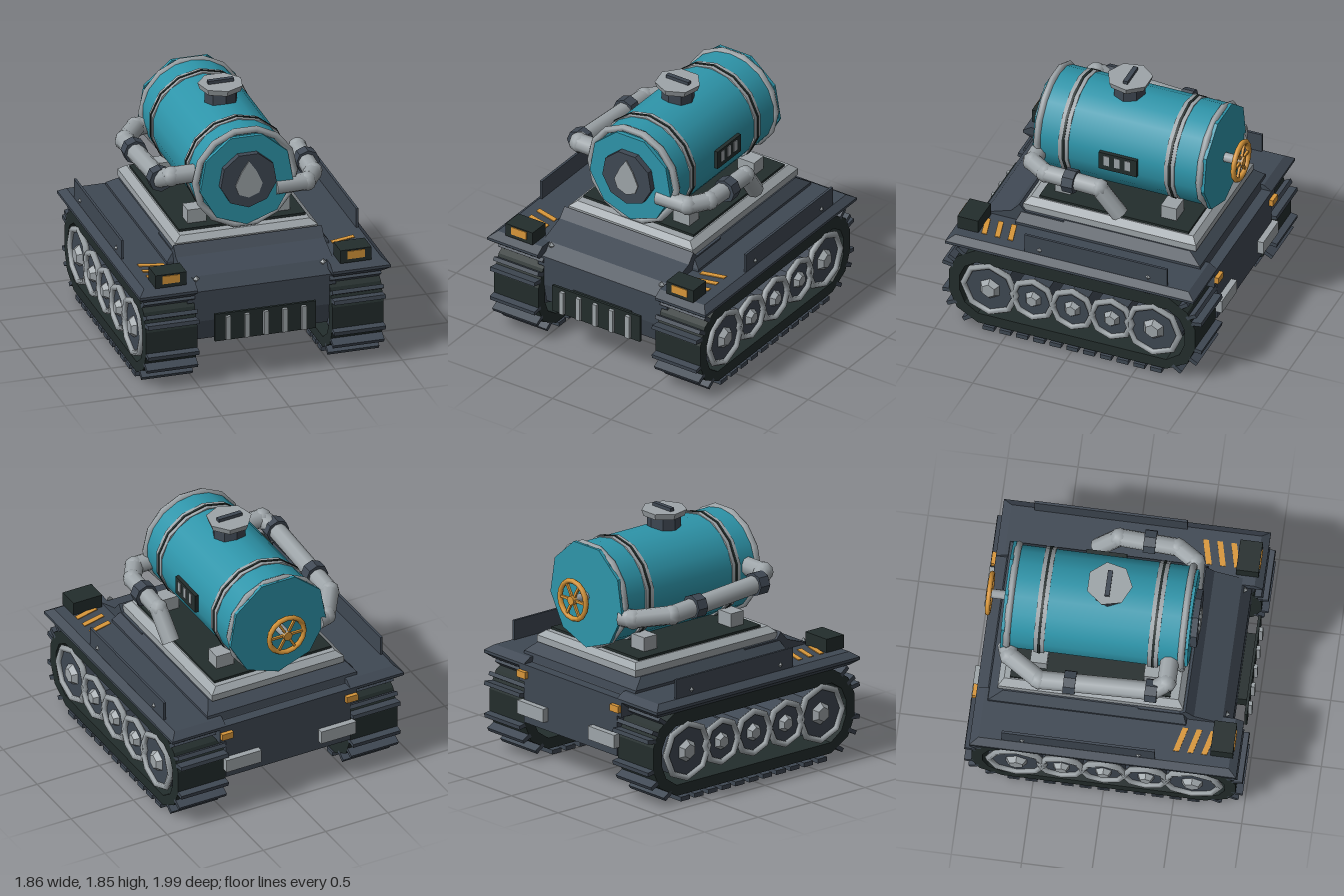
import * as THREE from 'three';

const mat = (name, color, extra = {}) => {
  const m = new THREE.MeshStandardMaterial({ color, ...extra });
  m.name = name;
  return m;
};

export function createModel() {
  const root = new THREE.Group();
  root.name = 'tankVehicle';
  const steel = mat('darkSteel', 0x3f4853);
  const rubber = mat('blackRubber', 0x232d2c);
  const grey = mat('lightGrey', 0x9ea5a9);
  const teal = mat('tealPaint', 0x2e95aa);
  const orange = mat('orangePaint', 0xd9973a);

  const add = (name, geo, material, x = 0, y = 0, z = 0, parent = root) => {
    const m = new THREE.Mesh(geo, material);
    m.name = name;
    m.position.set(x, y, z);
    parent.add(m);
    return m;
  };
  const box = (name, material, w, h, d, x, y, z, parent) =>
    add(name, new THREE.BoxGeometry(w, h, d), material, x, y, z, parent);
  const flat = (geo) => {
    const g = geo.index ? geo.toNonIndexed() : geo;
    g.computeVertexNormals();
    return g;
  };
  const cylZ = (r, len, n) => new THREE.CylinderGeometry(r, r, len, n).rotateX(Math.PI / 2);
  const poly = (pts) => new THREE.Shape(pts.map(([a, b]) => new THREE.Vector2(a, b)));
  // extrude a (z, y) outline across x, centred on x = 0
  const extrudeX = (shape, width) =>
    new THREE.ExtrudeGeometry(shape, { depth: width, bevelEnabled: false })
      .rotateY(-Math.PI / 2).translate(width / 2, 0, 0);
  // stacked rectangles [y, x0, x1, z0, z1] joined into a bevelled slab
  const loft = (rings) => {
    const pos = [], idx = [];
    rings.forEach(([y, a, b, c, d]) => pos.push(a, y, d, b, y, d, b, y, c, a, y, c));
    for (let r = 0; r < rings.length - 1; r++)
      for (let i = 0; i < 4; i++) {
        const p = r * 4 + i, q = r * 4 + (i + 1) % 4;
        idx.push(p, q, q + 4, p, q + 4, p + 4);
      }
    const t = (rings.length - 1) * 4;
    idx.push(t, t + 1, t + 2, t, t + 2, t + 3, 0, 2, 1, 0, 3, 2);
    const g = new THREE.BufferGeometry();
    g.setAttribute('position', new THREE.Float32BufferAttribute(pos, 3));
    g.setIndex(idx);
    return flat(g);
  };

  // hull and deck
  add('lowerHull', extrudeX(poly([[-0.95, 0.3], [0.84, 0.3], [0.87, 0.45], [0.87, 0.68], [0.8, 0.75],
    [-0.86, 0.75], [-0.95, 0.6]]), 1), steel);
  add('glacis', extrudeX(poly([[0.2, 0.6], [0.87, 0.6], [0.87, 0.68], [0.8, 0.77], [0.6, 0.84], [0.54, 0.91],
    [0.5, 0.86], [0.2, 0.86]]), 1.1), steel);
  add('rearDeck', loft([[0.6, -0.55, 0.55, -0.95, 0.6], [0.73, -0.55, 0.55, -0.95, 0.6]]), steel);
  add('upperDeck', loft([[0.73, -0.6, 0.6, -0.87, 0.55], [0.79, -0.6, 0.6, -0.86, 0.55],
    [0.86, -0.54, 0.54, -0.76, 0.52]]), steel);
  add('tankPlatform', loft([[0.86, -0.53, 0.53, -0.8, 0.52], [0.91, -0.53, 0.53, -0.8, 0.52],
    [0.95, -0.48, 0.48, -0.76, 0.48]]), grey);
  box('platformPlate', rubber, 0.94, 0.025, 1.14, 0, 0.955, -0.15);

  // front grille
  box('grillePlate', rubber, 0.75, 0.21, 0.02, 0, 0.425, 0.945);
  box('grilleMount', rubber, 0.5, 0.12, 0.08, 0, 0.43, 0.9);
  for (let i = -2; i <= 2; i++) box('grilleSlat', grey, 0.035, 0.18, 0.03, i * 0.14, 0.42, 0.965);

  // everything paired on both sides
  const beltOuter = [[-0.72, 0.05], [0.72, 0.05], [0.88, 0.14], [0.94, 0.28], [0.94, 0.45], [0.88, 0.58],
    [0.74, 0.67], [-0.74, 0.67], [-0.88, 0.58], [-0.94, 0.45], [-0.94, 0.28], [-0.88, 0.14]];
  const beltInner = [[-0.72, 0.13], [0.72, 0.13], [0.82, 0.2], [0.86, 0.3], [0.86, 0.42], [0.82, 0.51],
    [0.73, 0.57], [-0.73, 0.57], [-0.82, 0.51], [-0.86, 0.42], [-0.86, 0.3], [-0.82, 0.2]];
  const beltShape = poly(beltOuter);
  beltShape.holes.push(poly(beltInner));
  const beltGeo = extrudeX(beltShape, 0.38);

  for (const s of [-1, 1]) {
    const track = new THREE.Group();
    track.name = s > 0 ? 'leftTrack' : 'rightTrack';
    root.add(track);
    add('trackBelt', beltGeo, rubber, s * 0.69, 0, 0, track);
    for (let i = 0; i < 11; i++)
      box('trackPad', steel, 0.38, 0.032, 0.085, s * 0.69, 0.016, -0.64 + i * 0.128, track);
    // cleats standing out around both ends: [z, y, angle]
    for (const e of [-1, 1])
      for (const [z, y, a] of [[0.8, 0.07, -0.6], [0.92, 0.17, -0.5], [0.95, 0.27, -0.15],
        [0.95, 0.5, 0.15], [0.91, 0.55, 0.5], [0.85, 0.63, 0.65]]) {
        const c = box('trackCleat', steel, 0.38, 0.03, 0.08, s * 0.69, y, e * z, track);
        c.rotation.x = -e * a;
      }
    // road wheels
    for (const [z, r] of [[0.63, 0.205], [0.3, 0.16], [0, 0.16], [-0.3, 0.16], [-0.62, 0.205]]) {
      const wheel = new THREE.Group();
      wheel.name = 'roadWheel';
      wheel.position.set(s * 0.72, 0.365, z);
      wheel.rotation.y = s * Math.PI / 2;
      track.add(wheel);
      add('wheelDisc', flat(cylZ(r, 0.3, 8)), steel, 0, 0, 0, wheel);
      add('wheelRim', new THREE.TorusGeometry(r - 0.005, 0.025, 5, 8), grey, 0, 0, 0.155, wheel);
      add('wheelHub', flat(new THREE.CylinderGeometry(r * 0.26, r * 0.42, 0.04, 6).rotateX(Math.PI / 2)),
        grey, 0, 0, 0.168, wheel);
    }

    // fender with skirt, lamp and hazard stripes
    const f = (a, b) => (s > 0 ? [a, b] : [-b, -a]);
    add('fender', loft([[0.67, ...f(0.52, 0.88), -0.9, 0.9], [0.71, ...f(0.5, 0.93), -0.95, 0.95],
      [0.73, ...f(0.5, 0.93), -0.95, 0.95], [0.77, ...f(0.5, 0.88), -0.89, 0.89]]), steel);
    box('sideSkirt', steel, 0.018, 0.15, 1.09, s * 0.87, 0.84, -0.18);
    box('headlampHousing', rubber, 0.23, 0.1, 0.16, s * 0.685, 0.82, 0.83);
    box('headlampLens', orange, 0.13, 0.06, 0.008, s * 0.685, 0.83, 0.913);
    for (let i = 0; i < 3; i++) {
      const z = 0.5 + i * 0.1;
      const stripe = poly([[s * 0.62, z + 0.03], [s * 0.62, z + 0.07], [s * 0.8, z + 0.025], [s * 0.8, z - 0.015]]);
      add('hazardStripe', new THREE.ExtrudeGeometry(stripe, { depth: 0.006, bevelEnabled: false })
        .rotateX(Math.PI / 2), orange, 0, 0.777, 0);
    }

    // bolts, rear plates and rear markers
    for (const z of [0.25, -0.58]) {
      add('skirtBolt', flat(new THREE.ConeGeometry(0.025, 0.02, 4).rotateZ(-s * Math.PI / 2)),
        grey, s * 0.885, 0.81, z);
    }
    add('glacisBolt', flat(new THREE.ConeGeometry(0.025, 0.03, 4).rotateX(Math.PI / 2)), grey, s * 0.47, 0.76, 0.835);
    box('rearPlate', grey, 0.28, 0.1, 0.05, s * 0.38, 0.42, -0.97);
    box('rearMarker', orange, 0.09, 0.05, 0.03, s * 0.5, 0.66, -0.965);

    // saddle blocks under the tank
    for (const z of [0.28, -0.53]) box('tankSaddle', grey, 0.14, 0.11, 0.12, s * 0.31, 1.015, z);
  }

  // tank body
  const tank = new THREE.Group();
  tank.name = 'tank';
  tank.position.y = 1.34;
  root.add(tank);
  add('tankBody', cylZ(0.37, 1.28, 18), teal, 0, 0, -0.15, tank);
  add('frontCap', flat(cylZ(0.35, 0.03, 9)), teal, 0, 0, 0.51, tank);
  add('rearCap', flat(cylZ(0.39, 0.025, 9)), teal, 0, 0, -0.79, tank);
  for (const z of [0.48, -0.76]) add('endHoop', new THREE.TorusGeometry(0.365, 0.028, 6, 14), grey, 0, 0, z, tank);
  for (const z of [0.28, -0.53]) {
    add('strap', cylZ(0.38, 0.075, 14), grey, 0, 0, z, tank);
    add('strapSeam', cylZ(0.385, 0.018, 14), rubber, 0, 0, z, tank);
  }

  // front badge disc with a plain drop
  add('frontDisc', flat(cylZ(0.21, 0.05, 9)), steel, 0, 0.01, 0.545, tank);
  add('dropPlate', new THREE.ExtrudeGeometry(poly([[0, 0.15], [-0.055, 0.07], [-0.1, -0.03], [-0.075, -0.1],
    [0, -0.13], [0.075, -0.1], [0.1, -0.03], [0.055, 0.07]]), { depth: 0.009, bevelEnabled: false }),
  grey, 0, 0.01, 0.57, tank);

  // filler hatch
  add('hatchNeck', flat(new THREE.CylinderGeometry(0.12, 0.12, 0.14, 8)), steel, 0, 0.39, -0.075, tank);
  add('hatchLid', flat(new THREE.CylinderGeometry(0.165, 0.15, 0.045, 7)), grey, 0, 0.465, -0.075, tank);
  box('hatchHandle', steel, 0.19, 0.03, 0.035, 0, 0.497, -0.08, tank);

  // rear valve wheel
  add('valveAxle', cylZ(0.035, 0.16, 8), grey, 0, -0.01, -0.86, tank);
  add('valveRim', new THREE.TorusGeometry(0.14, 0.02, 6, 16), orange, 0, -0.01, -0.925, tank);
  add('valveHub', cylZ(0.035, 0.04, 8), orange, 0, -0.01, -0.93, tank);
  for (let i = 0; i < 3; i++)
    box('valveSpoke', orange, 0.27, 0.018, 0.018, 0, -0.01, -0.925, tank).rotation.z = i * Math.PI / 3;

  // side vent
  box('ventPanel', rubber, 0.03, 0.14, 0.29, 0.375, 0, -0.145, tank);
  for (let i = 0; i < 3; i++) box('ventSlat', grey, 0.01, 0.08, 0.04, 0.39, 0.01, -0.06 - i * 0.08, tank);

  // pipes: straight runs with ball elbows
  const pipe = (name, pts, r) => {
    const g = new THREE.Group();
    g.name = name;
    root.add(g);
    const v = pts.map((p) => new THREE.Vector3(...p));
    for (let i = 0; i < v.length - 1; i++) {
      const d = v[i + 1].clone().sub(v[i]);
      const mid = v[i].clone().addScaledVector(d, 0.5);
      const m = add('pipeRun', new THREE.CylinderGeometry(r, r, d.length(), 9), grey, ...mid, g);
      m.quaternion.setFromUnitVectors(new THREE.Vector3(0, 1, 0), d.normalize());
      if (i) add('pipeElbow', new THREE.SphereGeometry(r * 1.08, 8, 6), grey, ...v[i], g);
    }
  };
  pipe('leftPipe', [[0.22, 1.24, 0.49], [0.46, 1.24, 0.48], [0.55, 1.24, 0.34], [0.57, 1.24, -0.08],
    [0.55, 1.04, -0.23]], 0.065);
  pipe('rightPipe', [[-0.33, 1.25, -0.76], [-0.42, 1.25, -0.73], [-0.575, 1.27, -0.5], [-0.575, 1.33, 0.3],
    [-0.52, 1.38, 0.4], [-0.33, 1.38, 0.4]], 0.068);
  for (const [x, y, z] of [[0.565, 1.24, 0.14], [-0.575, 1.29, -0.28], [-0.575, 1.33, 0.3]])
    add('pipeClamp', flat(cylZ(0.088, 0.085, 8)), steel, x, y, z);

  return root;
}
